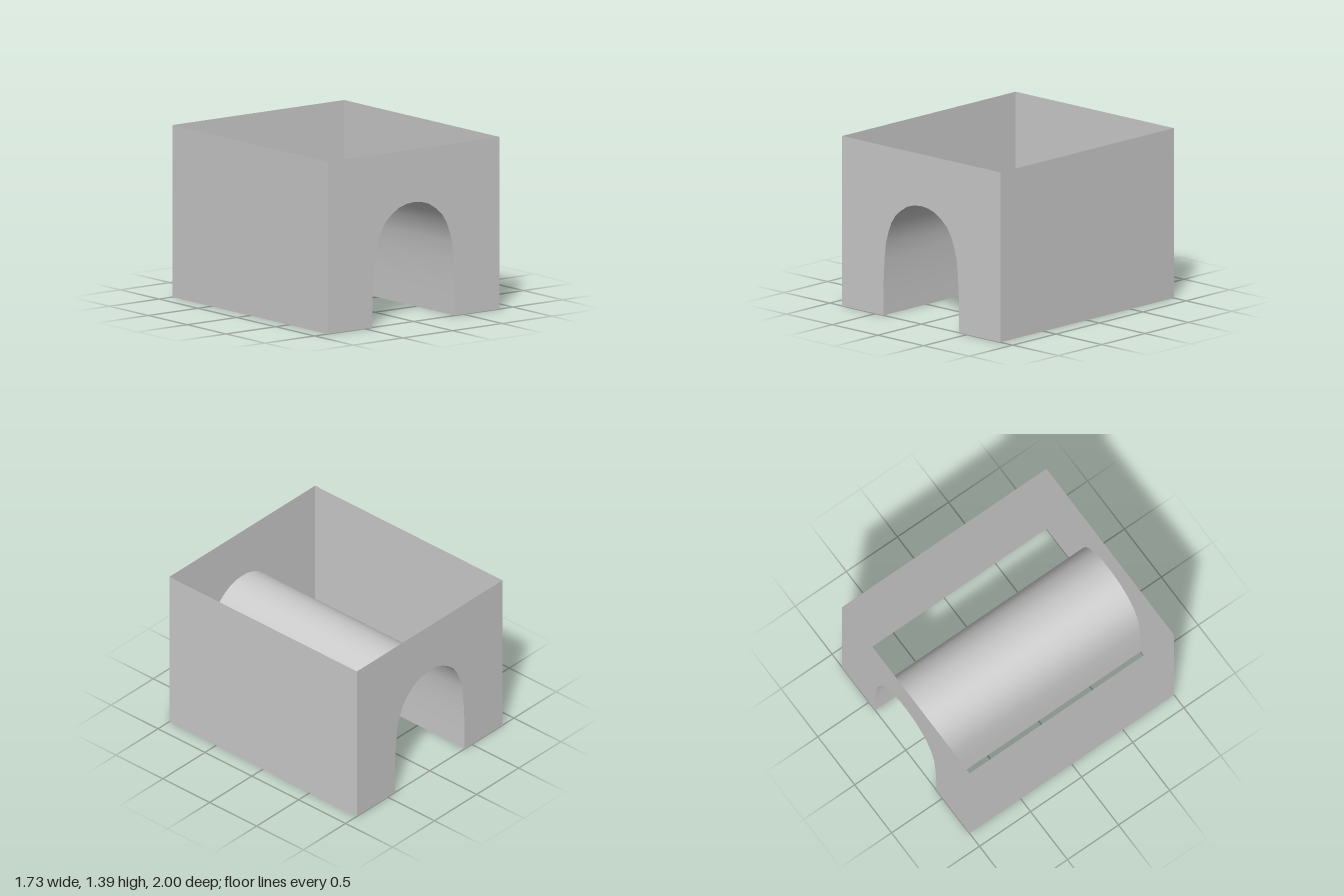
import * as THREE from 'three';

const W = 0.865, H = 1.39, D = 1;

// Half of the arch opening, from the foot up to the crown
const half = [
  [0.415, 0], [0.413, 0.25], [0.402, 0.46], [0.386, 0.6], [0.359, 0.69], [0.328, 0.77],
  [0.28, 0.84], [0.222, 0.89], [0.15, 0.935], [0.075, 0.958],
];
const arch = [...half, [0, 0.965], ...half.slice().reverse().map(([x, y]) => [-x, y])];

export function createModel() {
  const group = new THREE.Group();
  const material = new THREE.MeshStandardMaterial({ color: 0xcccccc, side: THREE.DoubleSide });
  const add = (geometry, name) => {
    const mesh = new THREE.Mesh(geometry, material);
    mesh.name = name;
    group.add(mesh);
    return mesh;
  };

  // Thin end walls with the arch cut up from the ground
  const outline = [[W, 0], [W, H], [-W, H], [-W, 0], ...arch.slice().reverse()];
  const endShape = new THREE.Shape(outline.map(([x, y]) => new THREE.Vector2(x, y)));
  add(new THREE.ShapeGeometry(endShape), 'frontWall').position.z = D;
  const back = add(new THREE.ShapeGeometry(endShape), 'backWall');
  back.position.z = -D;
  back.rotation.y = Math.PI;

  // Thin side walls; the top and the underside stay open
  for (const [side, name] of [[1, 'leftWall'], [-1, 'rightWall']]) {
    const wall = add(new THREE.PlaneGeometry(2 * D, H), name);
    wall.position.set(side * W, H / 2, 0);
    wall.rotation.y = side * Math.PI / 2;
  }

  // Smooth vault: a sheet bent along the arch profile, running front to back
  const vault = new THREE.PlaneGeometry(1, 2 * D, arch.length - 1, 1);
  const pos = vault.attributes.position;
  for (let i = 0; i < pos.count; i++) {
    const [x, y] = arch[i % arch.length];
    pos.setXYZ(i, x, y, i < arch.length ? D : -D);
  }
  vault.computeVertexNormals();
  add(vault, 'vault');

  return group;
}
